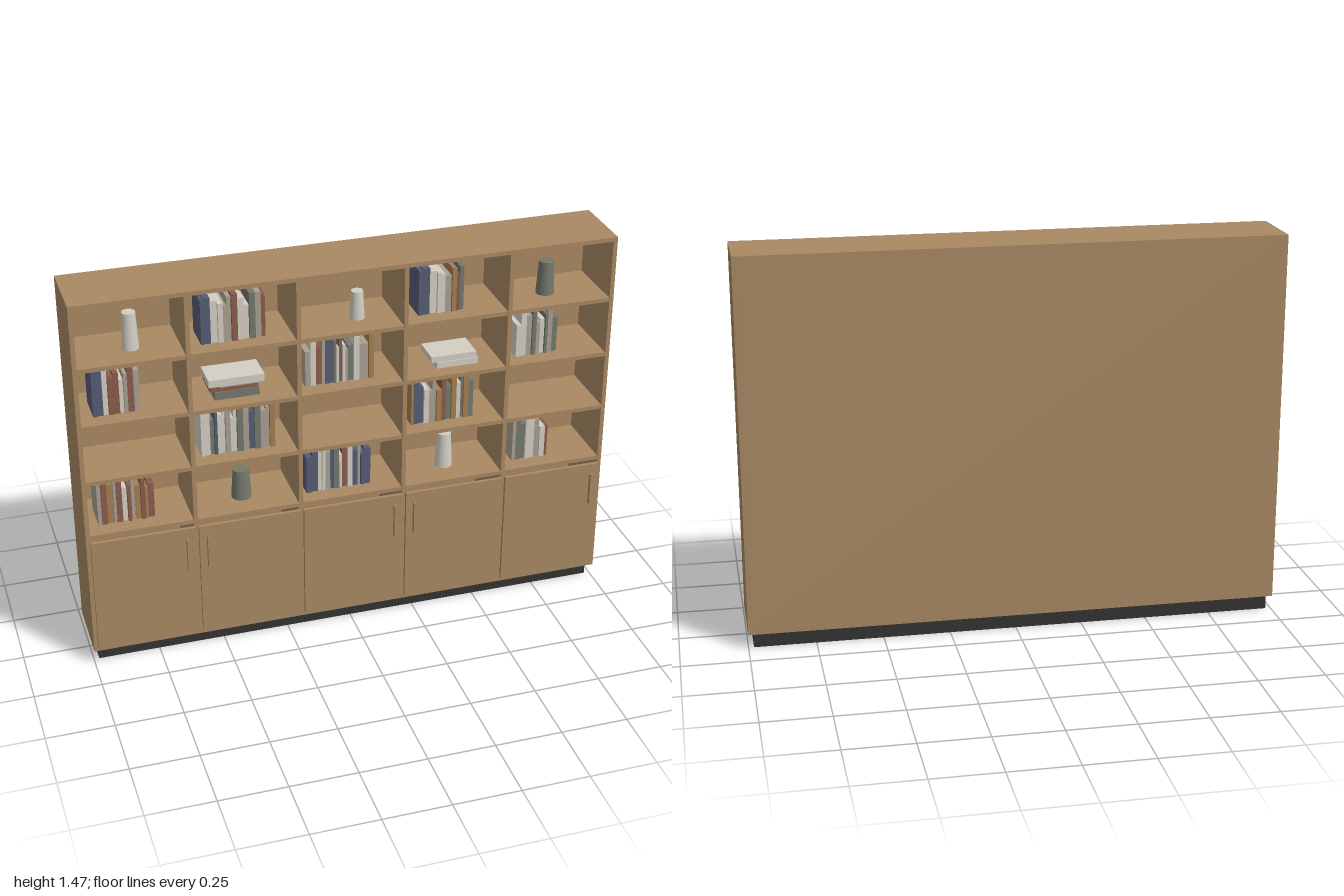
import * as THREE from 'three';

const mat = (name, color) => new THREE.MeshStandardMaterial({ name, color });

export function createModel() {
  const root = new THREE.Group();
  root.name = 'bookcase';
  const wood = mat('oak', 0xa98963);
  const dark = mat('plinthBlack', 0x333333);
  const paint = {
    i: mat('ivory', 0xd3cfc4),
    t: mat('stone', 0xaaa091),
    g: mat('sageGrey', 0x74786c),
    b: mat('slateBlue', 0x565d74),
    r: mat('russet', 0x8a5c4c),
    o: mat('ochre', 0xa57f52),
  };

  // box given by its min and max corners
  function box(name, material, x0, x1, y0, y1, z0, z1, parent = root) {
    const m = new THREE.Mesh(new THREE.BoxGeometry(x1 - x0, y1 - y0, z1 - z0), material);
    m.position.set((x0 + x1) / 2, (y0 + y1) / 2, (z0 + z1) / 2);
    m.name = name;
    parent.add(m);
    return m;
  }

  const T = 0.016, BACK = -0.146, FRONT = 0.118, BOTTOM = 0.056, TOP = 1.466;
  const PITCH = (2 - T) / 5;

  // carcass
  box('plinth', dark, -0.98, 0.98, 0, BOTTOM, -0.13, 0.087);
  box('backPanel', wood, -1 + T, 1 - T, BOTTOM + T, TOP - T, BACK, BACK + 0.008);
  box('topPanel', wood, -1 + T, 1 - T, TOP - T, TOP, BACK, FRONT);
  box('bottomPanel', wood, -1 + T, 1 - T, BOTTOM, BOTTOM + T, BACK, FRONT);
  for (let i = 0; i <= 5; i++) {
    const x = -1 + i * PITCH;
    const outer = i === 0 || i === 5;
    const inset = outer ? 0 : T;
    box(outer ? 'sidePanel' : 'divider', wood, x, x + T, BOTTOM + inset, TOP - inset,
      outer ? BACK : BACK + 0.008, FRONT);
  }

  // shelves, listed from the top row down by their upper surface
  const shelfTops = [1.226, 1.002, 0.779, 0.557];
  for (const y of shelfTops) {
    for (let i = 0; i < 5; i++) {
      const x = -1 + T + i * PITCH;
      box('shelf', wood, x, x + PITCH - T, y - T, y, BACK + 0.008, FRONT - 0.002);
    }
  }

  // doors with bar handles
  [1, -1, 1, -1, 1].forEach((side, i) => {
    const cx = (i - 2) * PITCH;
    box('door', wood, cx - 0.191, cx + 0.191, 0.073, 0.532, FRONT, 0.131);
    const hx = cx + side * 0.16;
    box('handle', wood, hx - 0.004, hx + 0.004, 0.362, 0.493, 0.131, 0.147);
  });

  // upright books: row, x range, colour codes, heights in hundredths
  const bookRows = [
    [0, -0.535, -0.30, 'bbiittriigtr', [17, 17.5, 16, 15, 14, 17, 18, 16, 13, 17.5, 17.5, 16]],
    [0, 0.265, 0.44, 'bbiiitorg', [17.5, 18, 16.5, 16, 15, 14, 17, 14, 17]],
    [1, -0.93, -0.76, 'bbirritrt', [18, 19, 17.5, 15, 16, 13, 15.5, 18, 16]],
    [1, -0.16, 0.10, 'tirtbbgiritgitto', [14, 18, 15, 17.5, 18, 18.5, 17, 14, 17, 15, 13, 14, 17.5, 14, 14, 18]],
    [1, 0.65, 0.815, 'iitgtigtg', [13, 18.5, 16, 18, 13, 14, 16, 18, 14]],
    [2, -0.55, -0.275, 'iigbiitiigtbgtto', [18, 18.5, 14, 17, 16, 18, 18, 14, 17, 18.5, 17, 15, 18, 15, 16, 18.5]],
    [2, 0.245, 0.49, 'obbittorgoigog', [17, 18, 15, 14, 13, 17, 13, 18, 14, 18, 15, 17, 18, 15]],
    [3, -0.94, -0.73, 'trotrirtoror', [18.5, 18, 16, 17, 18, 14, 15, 19, 14, 17, 13, 14]],
    [3, -0.16, 0.09, 'bbiitbgiribtbb', [15, 17.5, 18, 17, 16, 18, 18, 14, 16, 17, 15, 17, 14, 15]],
    [3, 0.655, 0.80, 'tggiitir', [18.5, 17, 15, 18, 17, 16, 13, 13]],
  ];
  for (const [row, x0, x1, codes, heights] of bookRows) {
    const group = new THREE.Group();
    group.name = 'bookRow';
    root.add(group);
    const widths = heights.map((h, i) => 1 + 0.35 * Math.sin(i * 2.3 + h));
    const unit = (x1 - x0) / widths.reduce((a, b) => a + b);
    let x = x0;
    heights.forEach((h, i) => {
      const w = widths[i] * unit;
      const front = 0.056 - 0.004 * (i % 3);
      box('book', paint[codes[i]], x, x + w - 0.001, shelfTops[row],
        shelfTops[row] + h / 100, -0.068, front, group);
      x += w;
    });
  }

  // lying books: x range, bottom and top above the shelf, colour
  const stacks = [
    [-0.495, -0.33, 0, 0.03, 'g'],
    [-0.51, -0.335, 0.03, 0.047, 'r'],
    [-0.475, -0.315, 0.047, 0.062, 't'],
    [-0.515, -0.31, 0.05, 0.078, 'i'],
    [0.34, 0.50, 0, 0.024, 'i'],
    [0.32, 0.495, 0.024, 0.047, 'i'],
  ];
  stacks[2][3] = 0.05;
  stacks.forEach(([x0, x1, y0, y1, c], i) => box('lyingBook', paint[c], x0, x1,
    shelfTops[1] + y0, shelfTops[1] + y1, -0.068 + 0.004 * (i % 2), 0.058 - 0.004 * (i % 2)));

  // tapered vases: row, x, base radius, height, colour
  const vases = [
    [0, -0.775, 0.031, 0.138, 'i'], [0, 0.051, 0.028, 0.106, 'i'], [0, 0.777, 0.035, 0.128, 'g'],
    [3, -0.395, 0.038, 0.115, 'g'], [3, 0.397, 0.034, 0.14, 'i'],
  ];
  for (const [row, x, r, h, c] of vases) {
    const m = new THREE.Mesh(new THREE.CylinderGeometry(r * 0.78, r, h, 24), paint[c]);
    m.position.set(x, shelfTops[row] + h / 2, 0);
    m.name = 'vase';
    root.add(m);
  }
  return root;
}
